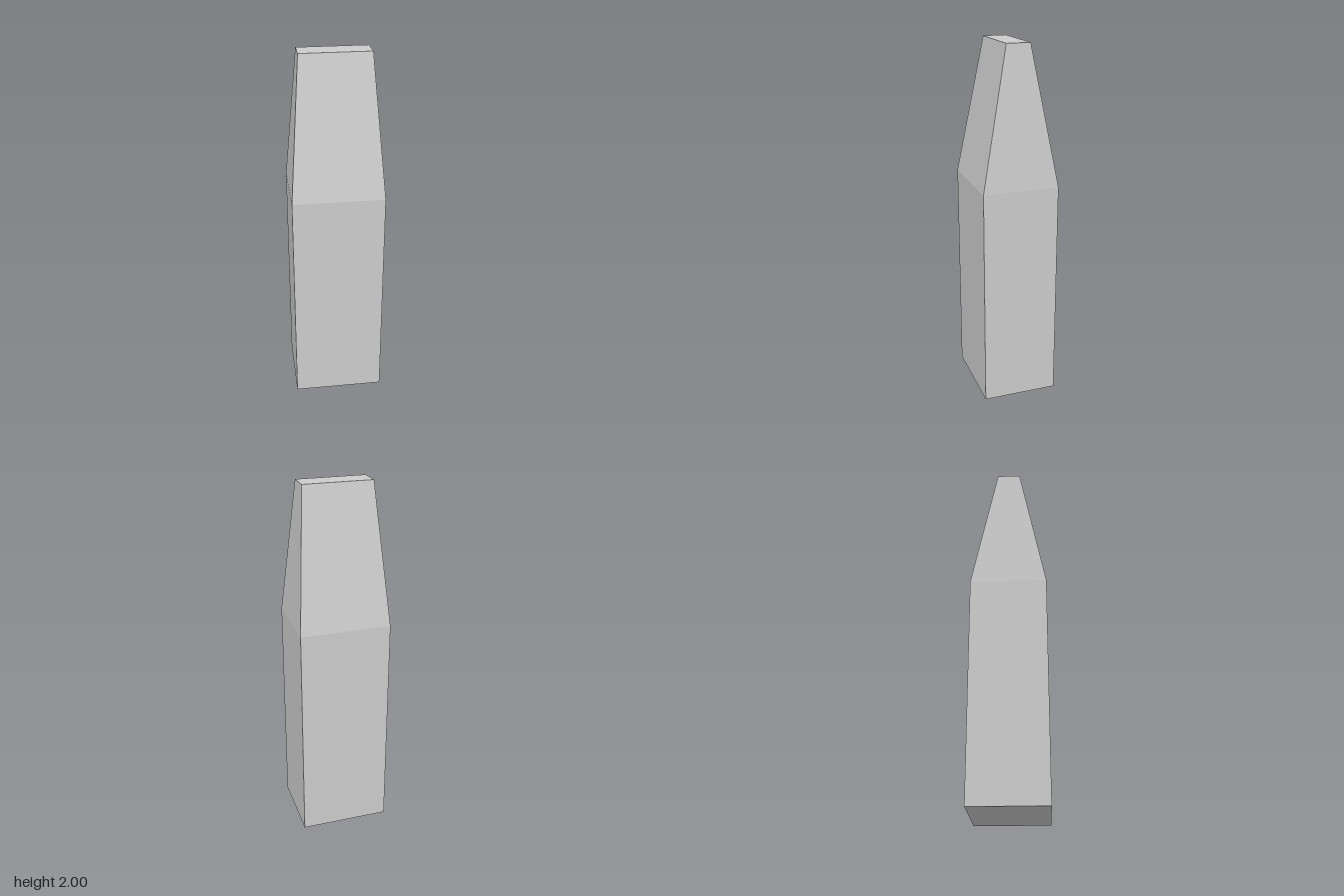
import * as THREE from 'three';

export function createModel() {
  const group = new THREE.Group();
  const material = new THREE.MeshStandardMaterial({ color: 0xcccccc, flatShading: true });

  // Rectangular post: straight shaft up to the shoulder, then a taper to a narrow flat top
  const height = 2, shoulder = 1.24;
  const geometry = new THREE.BoxGeometry(0.502, height, 0.422, 1, 2, 1);
  geometry.translate(0, height / 2, 0);
  const p = geometry.attributes.position;
  for (let i = 0; i < p.count; i++) {
    const y = p.getY(i);
    if (y > 1.5) p.setXYZ(i, Math.sign(p.getX(i)) * 0.191, height, Math.sign(p.getZ(i)) * 0.065);
    else if (y > 0.5) p.setY(i, shoulder);
  }
  geometry.computeVertexNormals();

  const post = new THREE.Mesh(geometry, material);
  post.name = 'taperedPost';
  group.add(post);
  return group;
}
